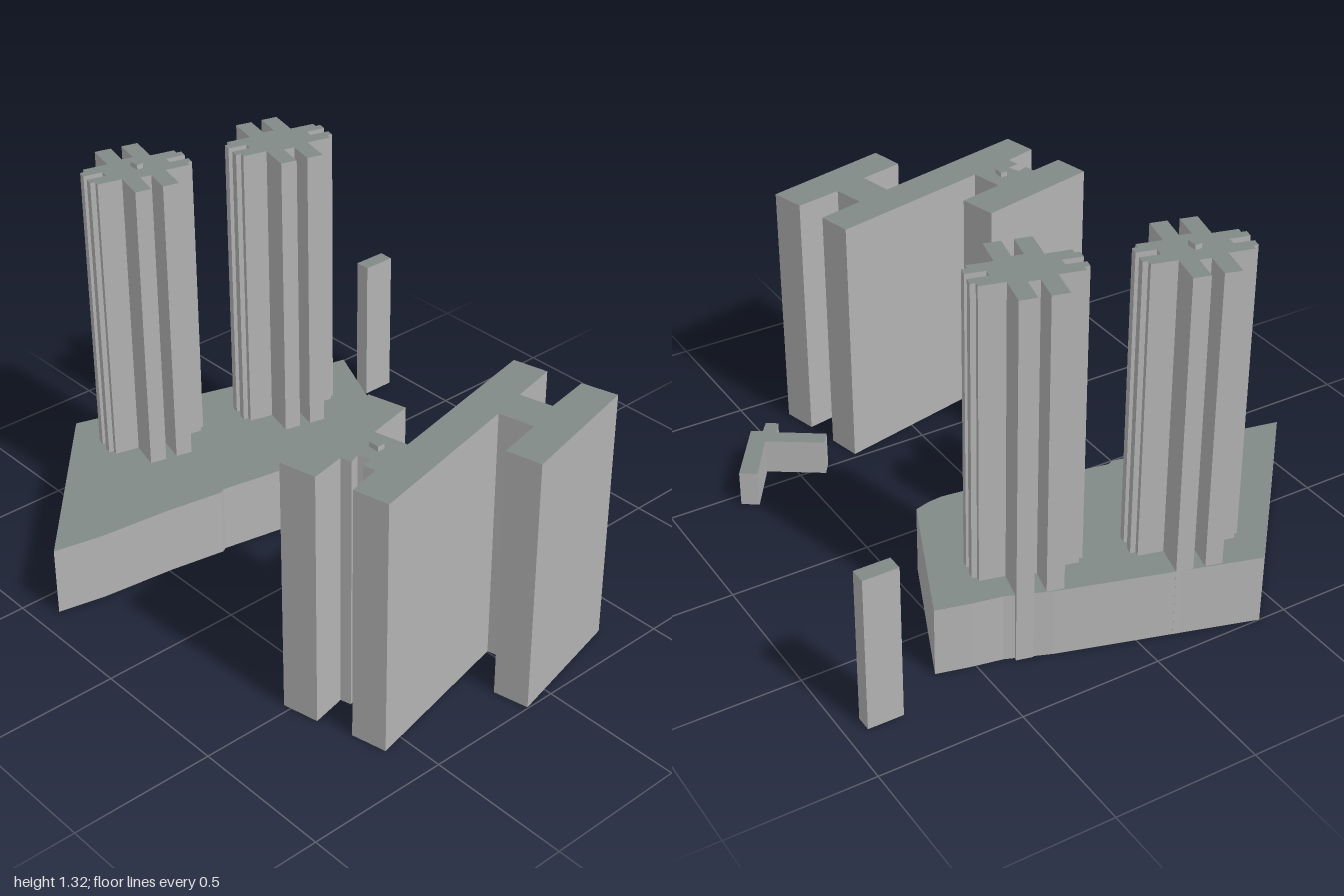
import * as THREE from 'three';

const wallMat = new THREE.MeshStandardMaterial({ name: 'wallGrey', color: 0xb2b2b2, side: THREE.DoubleSide });
const roofMat = new THREE.MeshStandardMaterial({ name: 'roofGreenGrey', color: 0x808a86, side: THREE.DoubleSide });

// Open-bottomed prism: plan is a list of [x, z] corners, walls and flat roof are separate meshes
function building(name, plan, top, base = 0) {
  const group = new THREE.Group();
  group.name = name;
  let pts = plan.map(([x, z]) => new THREE.Vector2(x, -z));
  if (THREE.ShapeUtils.area(pts) < 0) pts = pts.reverse();

  const pos = [];
  pts.forEach((a, i) => {
    const b = pts[(i + 1) % pts.length];
    const A = [a.x, base, -a.y], B = [b.x, base, -b.y];
    const C = [b.x, top, -b.y], D = [a.x, top, -a.y];
    pos.push(...A, ...B, ...C, ...A, ...C, ...D);
  });
  const wallGeo = new THREE.BufferGeometry();
  wallGeo.setAttribute('position', new THREE.Float32BufferAttribute(pos, 3));
  wallGeo.computeVertexNormals();
  const walls = new THREE.Mesh(wallGeo, wallMat);
  walls.name = name + 'Walls';

  const roof = new THREE.Mesh(new THREE.ShapeGeometry(new THREE.Shape(pts)).rotateX(-Math.PI / 2), roofMat);
  roof.position.y = top;
  roof.name = name + 'Roof';
  group.add(walls, roof);
  return group;
}

// Rectangle plan around a centre
const rect = (x, z, w, d) => [[x - w, z - d], [x + w, z - d], [x + w, z + d], [x - w, z + d]];

// Cross-shaped tower plan with a slot in the end of every arm, turned to follow the podium
function towerPlan(cx, cz) {
  const half = [
    // right arm
    [0.065, -0.078], [0.178, -0.078], [0.178, -0.02], [0.08, -0.02],
    [0.08, 0.02], [0.178, 0.02], [0.178, 0.078], [0.065, 0.078],
    // front arm, with stepped prongs
    [0.065, 0.165], [0.045, 0.165], [0.045, 0.183], [0.015, 0.183], [0.015, 0.115],
    [-0.015, 0.115], [-0.015, 0.183], [-0.045, 0.183], [-0.045, 0.165], [-0.065, 0.165],
  ];
  const full = [...half, ...half.map(([u, v]) => [-u, -v])];
  const c = Math.cos(0.25), s = Math.sin(0.25);
  return full.map(([u, v]) => [cx + u * c - v * s, cz + u * s + v * c]);
}

export function createModel() {
  const model = new THREE.Group();
  model.name = 'cityBlock';

  // Podium with gently curved street sides
  model.add(building('podium', [
    [-0.69, -0.63], [-0.2, -0.415], [-0.185, -0.36], [-0.18, -0.31], [-0.19, -0.23],
    [-0.245, 0.045], [-0.265, 0.035], [-0.31, 0.27], [-0.3, 0.29], [-0.335, 0.49],
    [-0.365, 0.75], [-0.4, 0.92], [-1, 0.4], [-0.8, -0.26], [-0.74, -0.41], [-0.72, -0.51],
  ], 0.25));

  // Twin towers and the roof hut on the front one
  model.add(building('frontTower', towerPlan(-0.762, 0.237), 1.305));
  model.add(building('rearTower', towerPlan(-0.612, -0.26), 1.305));
  model.add(building('towerRoofHut', rect(-0.762, 0.235, 0.019, 0.012), 1.322, 1.305));

  // Slab block with two H-shaped wings
  model.add(building('slabBlock', [
    [0.52, -0.27], [0.64, -0.297], [0.68, -0.13], [0.793, -0.158], [0.761, -0.324], [0.884, -0.356],
    [0.996, 0.104], [0.873, 0.13], [0.836, -0.03], [0.713, -0.003], [0.847, 0.579], [0.724, 0.606],
    [0.692, 0.488], [0.649, 0.499], [0.638, 0.456], [0.596, 0.472], [0.612, 0.51], [0.574, 0.52],
    [0.601, 0.643], [0.473, 0.67], [0.366, 0.216], [0.499, 0.184], [0.537, 0.349], [0.654, 0.323],
  ], 0.92));
  model.add(building('slabRoofHut', rect(0.605, 0.403, 0.019, 0.013), 0.938, 0.92));

  // Low branching building
  model.add(building('lowBuilding', [
    [0.451, -0.756], [0.67, -0.607], [0.649, -0.569], [0.692, -0.537], [0.665, -0.5],
    [0.617, -0.532], [0.515, -0.382], [0.467, -0.415], [0.585, -0.591], [0.414, -0.703],
  ], 0.13));

  // Slim block standing alone at the back
  model.add(building('slimBlock', rect(-0.777, -0.867, 0.028, 0.062), 0.56));

  return model;
}
